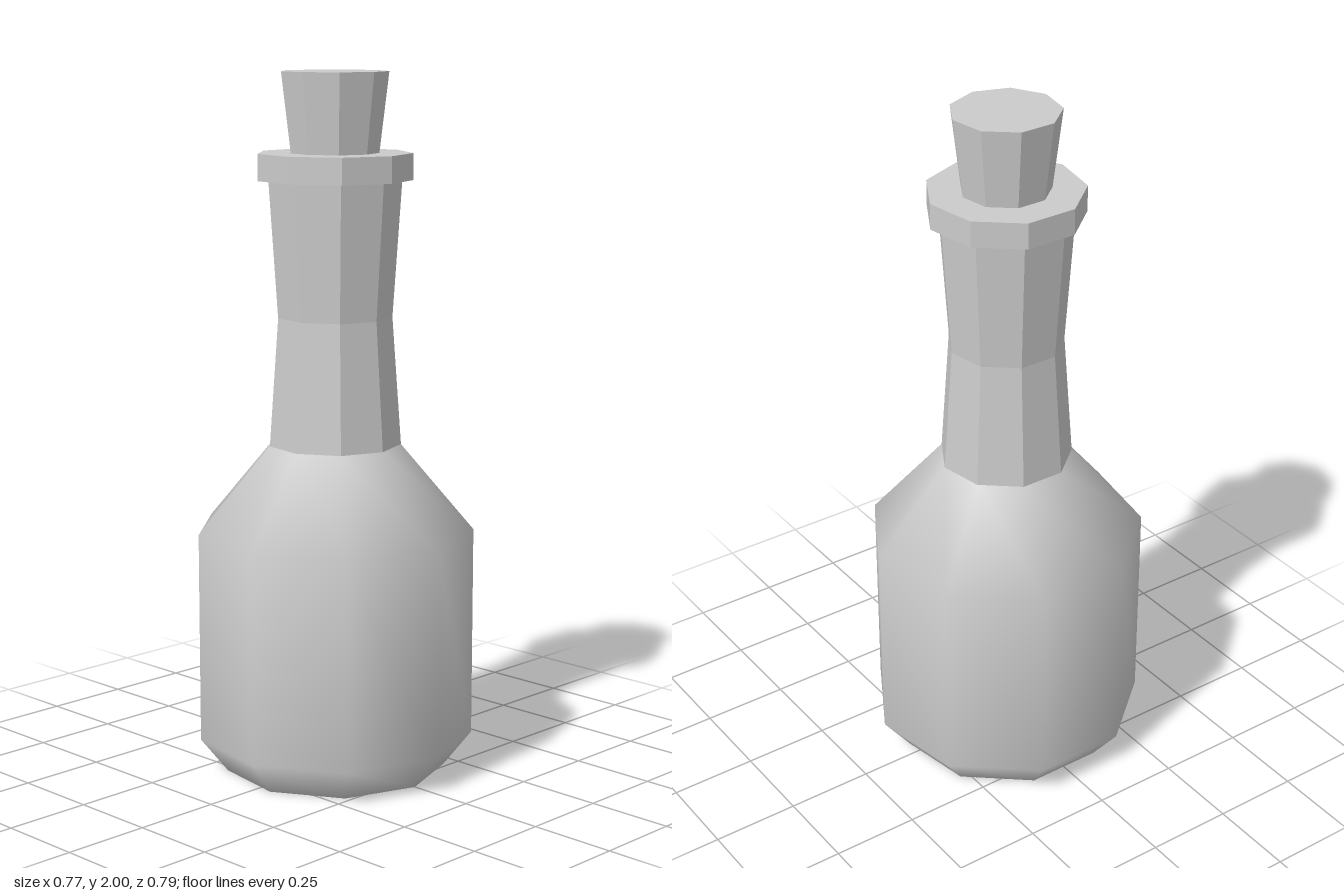
import * as THREE from 'three';

const SIDES = 9;
const START = Math.PI / 2; // puts a corner on +x

// Open nine-sided surface of revolution from [radius, height] pairs, bottom to top
function lathe(profile) {
  return new THREE.LatheGeometry(profile.map(([r, y]) => new THREE.Vector2(r, y)), SIDES, START);
}

// Closed nine-sided drum between two heights
function drum(rTop, rBottom, y0, y1) {
  return new THREE.CylinderGeometry(rTop, rBottom, y1 - y0, SIDES, 1, false, START)
    .translate(0, (y0 + y1) / 2, 0);
}

export function createModel() {
  const bottle = new THREE.Group();
  bottle.name = 'bottle';
  const smooth = new THREE.MeshStandardMaterial({ color: 0xcccccc });
  const faceted = new THREE.MeshStandardMaterial({ color: 0xcccccc, flatShading: true });

  const add = (name, geometry, material) => {
    const mesh = new THREE.Mesh(geometry, material);
    mesh.name = name;
    bottle.add(mesh);
  };

  // Smooth-shaded belly with chamfered foot and sloping shoulder
  add('body', lathe([[0.32, 0], [0.399, 0.1], [0.399, 0.705], [0.19, 0.95]]), smooth);
  add('base', new THREE.CircleGeometry(0.32, SIDES).rotateX(Math.PI / 2), faceted);

  // Faceted neck, slightly waisted
  add('neck', lathe([[0.19, 0.95], [0.164, 1.315], [0.19, 1.7]]), faceted);

  // Rim around the mouth and tapered stopper
  add('rim', drum(0.2207, 0.2207, 1.7, 1.775), faceted);
  add('cork', drum(0.1526, 0.125, 1.77, 2), faceted);

  // Nine sides reach further to +x than to -x, so shift to centre the bounds
  bottle.children.forEach((mesh) => { mesh.position.x = -0.012; });
  return bottle;
}
